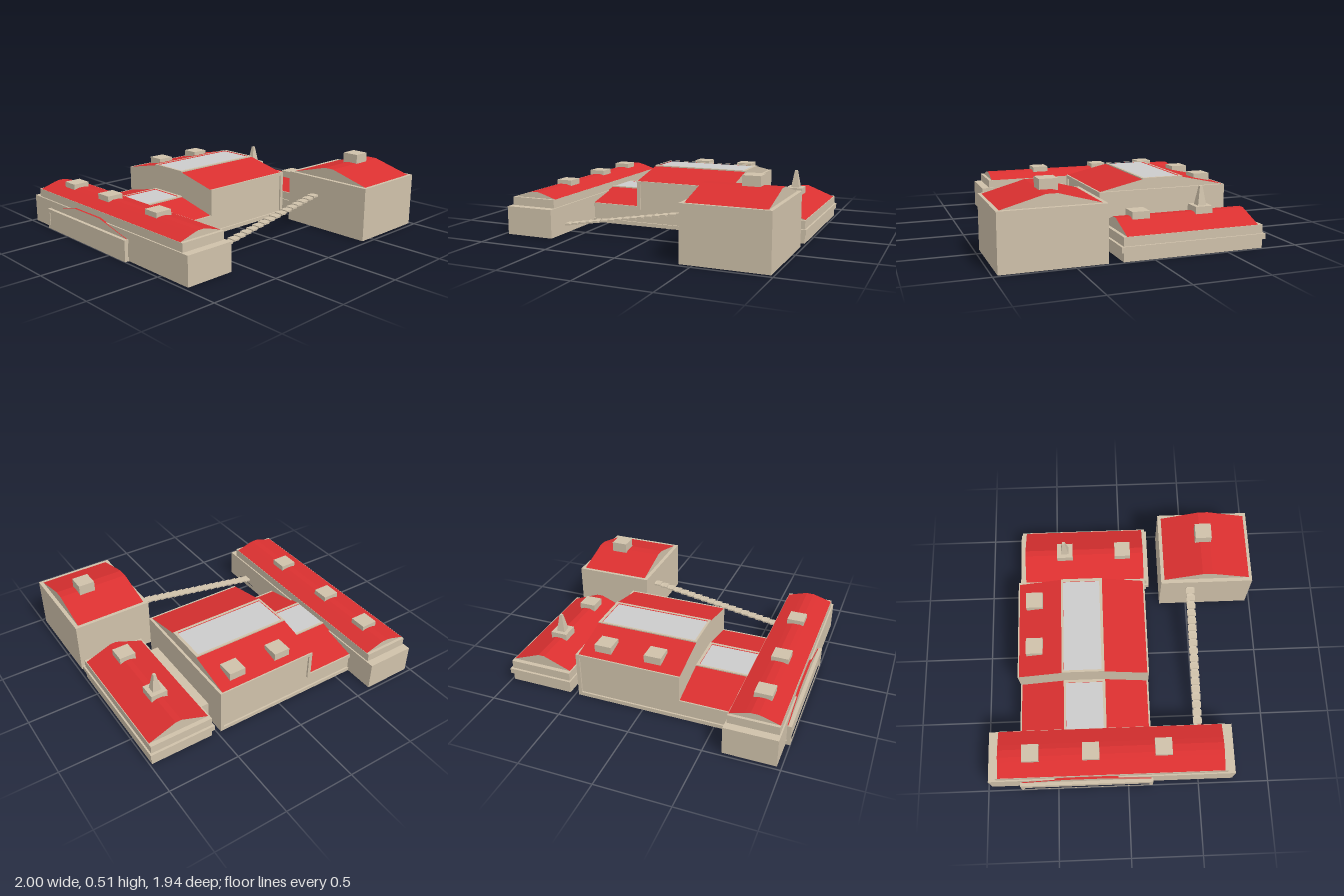
import * as THREE from 'three';

const stone = new THREE.MeshStandardMaterial({ color: 0xcfc1aa });
const red = new THREE.MeshStandardMaterial({ color: 0xda3030 });
const glass = new THREE.MeshStandardMaterial({ color: 0xcccccc });

export function createModel() {
  const model = new THREE.Group();

  function add(name, geometry, material = stone) {
    const mesh = new THREE.Mesh(geometry, material);
    mesh.name = name;
    model.add(mesh);
    return mesh;
  }

  // Box given by its limits on each axis
  function block(name, x0, x1, y0, y1, z0, z1, material) {
    const g = new THREE.BoxGeometry(x1 - x0, y1 - y0, z1 - z0);
    g.translate((x0 + x1) / 2, (y0 + y1) / 2, (z0 + z1) / 2);
    return add(name, g, material);
  }

  const toPath = (pts) => pts.map(([a, b]) => new THREE.Vector2(a, b));
  const rect = (a0, a1, b0, b1) => [[a0, b0], [a1, b0], [a1, b1], [a0, b1]];

  // Outline pushed along an axis: 'z' takes (x, y), 'x' takes (z, y), 'y' takes (x, z)
  function prism(name, axis, outline, from, to, material, hole) {
    const map = ([a, b]) => (axis === 'x' ? [-a, b] : axis === 'y' ? [a, -b] : [a, b]);
    const shape = new THREE.Shape(toPath(outline.map(map)));
    if (hole) shape.holes.push(new THREE.Path(toPath(hole.map(map))));
    const g = new THREE.ExtrudeGeometry(shape, { depth: to - from, bevelEnabled: false });
    g.translate(0, 0, from);
    if (axis === 'x') g.rotateY(Math.PI / 2);
    if (axis === 'y') g.rotateX(-Math.PI / 2);
    return add(name, g, material);
  }

  // Red slopes with stone gable ends
  function roof(name, axis, from, to, profile) {
    prism(name, axis, profile, from, to, [stone, red]);
  }

  function chimney(x, z, y0, y1) {
    block('chimney', x - 0.059, x + 0.059, y0, y1, z - 0.059, z + 0.059);
  }

  // Main hall: tall part and low wing share one stepped wall outline
  const wall = [[-1, 0], [0.475, 0], [0.475, 0.33], [-0.26, 0.33], [-0.26, 0.145], [-1, 0.145]];
  const panel = [[-0.975, 0.027], [0.45, 0.027], [0.45, 0.307], [-0.235, 0.307], [-0.235, 0.12], [-0.975, 0.12]];
  const core = wall.map(([x, y]) => [x === -1 ? -0.988 : x, y]);
  prism('hallWalls', 'z', core, -0.748, 0.16, stone);
  prism('hallFrontFrame', 'z', wall, 0.16, 0.172, stone, panel);
  prism('hallBackFrame', 'z', wall, -0.76, -0.748, stone, panel);
  prism('wingEndFrame', 'x', rect(-0.748, 0.16, 0, 0.145), -1, -0.988, stone,
    rect(-0.735, 0.147, 0.027, 0.12));

  // Hall roofs with a flat top carrying the skylights
  const hallRoof = (eave, top) => [[0.16, eave], [-0.142, top], [-0.442, top], [-0.75, eave]];
  roof('hallRoof', 'x', -0.26, 0.457, hallRoof(0.33, 0.397));
  roof('wingRoof', 'x', -0.976, -0.26, hallRoof(0.145, 0.213));
  for (const [x0, x1, i0, i1, y] of [
    [-0.26, 0.457, -0.245, 0.435, 0.397],
    [-0.65, -0.26, -0.635, -0.28, 0.213],
  ]) {
    prism('skylightFrame', 'y', rect(x0, x1, -0.442, -0.142), y, y + 0.008, stone,
      rect(i0, i1, -0.427, -0.162));
    block('skylightGlass', i0, i1, y - 0.004, y + 0.002, -0.427, -0.162, glass);
  }
  chimney(-0.05, -0.637, 0.34, 0.395);
  chimney(0.303, -0.637, 0.34, 0.395);

  // Long west block, its doorway cut in the inner side
  block('westBase', -0.97, -0.65, 0, 0.197, -0.975, 0.745);
  prism('westInnerWall', 'x', rect(-0.975, 0.745, 0, 0.197), -0.65, -0.62, stone,
    rect(0.43, 0.61, 0.03, 0.14));
  block('westUpperWall', -0.96, -0.63, 0.197, 0.255, -0.92, 0.69);
  roof('westRoof', 'z', -0.9, 0.667,
    [[-0.958, 0.255], [-0.632, 0.255], [-0.735, 0.287], [-0.77, 0.296], [-0.82, 0.296], [-0.855, 0.287]]);
  chimney(-0.8, -0.672, 0.27, 0.325);
  chimney(-0.8, -0.255, 0.27, 0.325);
  chimney(-0.787, 0.248, 0.27, 0.325);

  // Front block with a doorway facing the stair
  block('frontBlockBody', 0.44, 0.98, 0, 0.37, 0.295, 0.967);
  prism('frontBlockInnerWall', 'x', rect(0.295, 0.967, 0, 0.37), 0.412, 0.44, stone,
    rect(0.43, 0.61, 0.18, 0.31));
  roof('frontBlockRoof', 'x', 0.44, 0.953,
    [[0.945, 0.37], [0.668, 0.446], [0.597, 0.446], [0.32, 0.37]]);
  chimney(0.762, 0.616, 0.42, 0.51);

  // East block with a projecting ledge
  block('eastBase', 0.54, 0.985, 0, 0.155, -0.758, 0.2);
  block('eastLedge', 0.53, 0.997, 0.06, 0.097, -0.775, 0.217);
  roof('eastRoof', 'z', -0.727, 0.177,
    [[0.55, 0.155], [0.98, 0.155], [0.787, 0.23], [0.743, 0.23]]);
  chimney(0.762, -0.422, 0.19, 0.265);
  chimney(0.762, 0.018, 0.19, 0.265);
  const spire = new THREE.CylinderGeometry(0.013, 0.042, 0.125, 4).toNonIndexed();
  spire.rotateY(Math.PI / 4);
  spire.computeVertexNormals();
  spire.translate(0.762, 0.327, -0.422);
  add('spire', spire);

  // Low passage joining the hall and the east block
  block('passage', 0.47, 0.55, 0, 0.13, -0.61, 0.072);

  // Stair rising from the west block to the front block
  const a = [-0.64, 0.047], b = [0.435, 0.229];
  prism('stairSlab', 'z', [a, b, [b[0], b[1] + 0.01], [a[0], a[1] + 0.01]], 0.495, 0.545, stone);
  const steps = 19;
  for (let i = 0; i < steps; i++) {
    const t = (i + 0.5) / steps;
    const x = a[0] + (b[0] - a[0]) * t;
    const y = a[1] + (b[1] - a[1]) * t + 0.007;
    block('stairTread', x - 0.023, x + 0.023, y - 0.006, y + 0.006, 0.488, 0.552);
  }

  return model;
}
